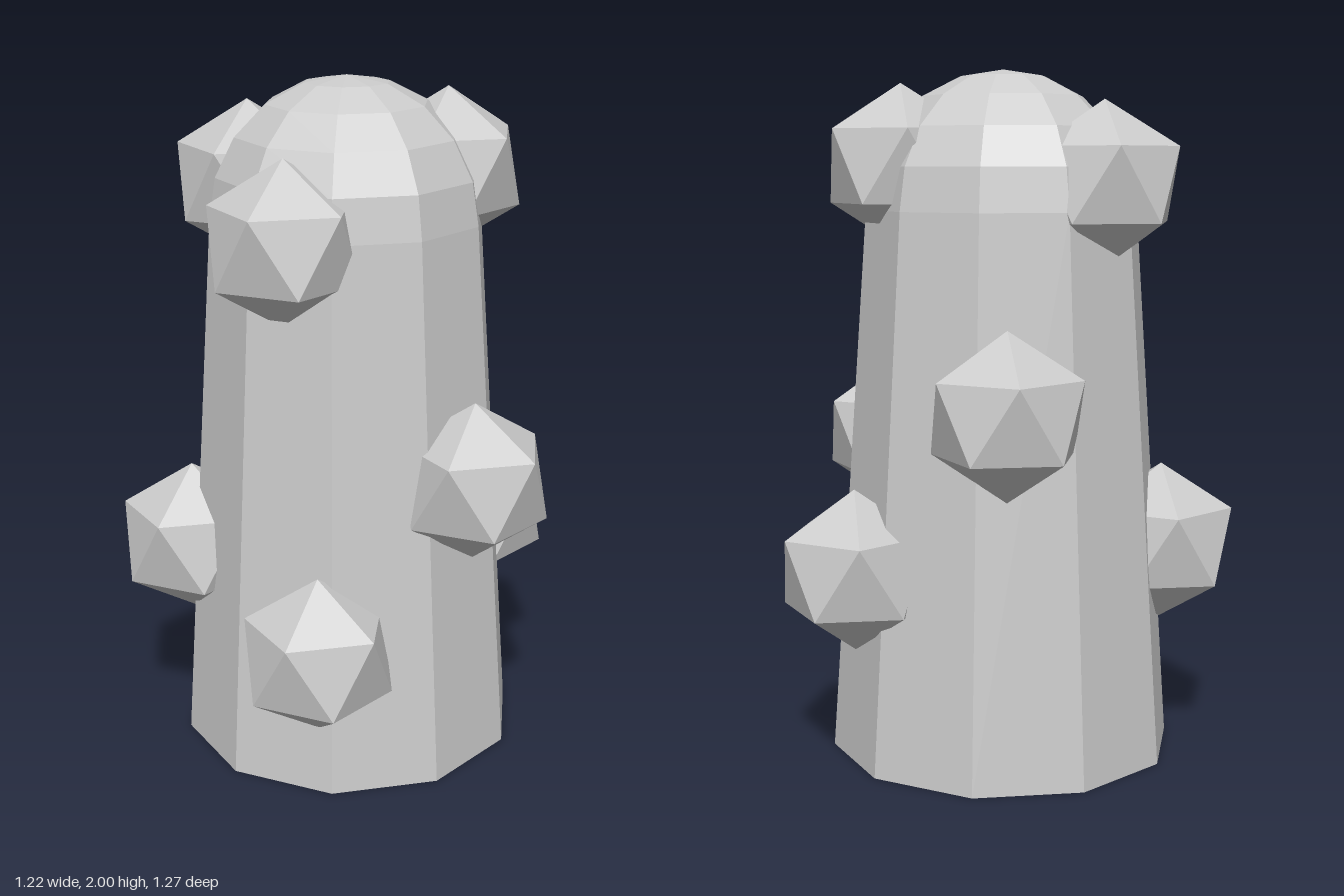
import * as THREE from 'three';

export function createModel() {
  const group = new THREE.Group();
  const material = new THREE.MeshStandardMaterial({
    color: 0xcccccc, flatShading: true, side: THREE.DoubleSide,
  });

  const SIDES = 10, TOP_RADIUS = 0.4, BASE_RADIUS = 0.51, TRUNK_HEIGHT = 1.6;
  const CENTRE_X = -0.07, CENTRE_Z = 0.03;

  function add(name, geometry, x, y, z) {
    const mesh = new THREE.Mesh(geometry, material);
    mesh.name = name;
    mesh.position.set(x, y, z);
    group.add(mesh);
  }

  // Tapered trunk, open at the bottom
  add('trunk',
    new THREE.CylinderGeometry(TOP_RADIUS, BASE_RADIUS, TRUNK_HEIGHT, SIDES, 1, true),
    CENTRE_X, TRUNK_HEIGHT / 2, CENTRE_Z);

  // Rounded cap, its corners in line with the trunk's
  add('dome',
    new THREE.SphereGeometry(TOP_RADIUS, SIDES, 5, Math.PI / 2, Math.PI * 2, 0, Math.PI / 2),
    CENTRE_X, TRUNK_HEIGHT, CENTRE_Z);

  // Knobs: icosahedra standing on a corner, one upper corner towards +x
  const knob = new THREE.IcosahedronGeometry(0.235, 0);
  knob.rotateX(-Math.atan((1 + Math.sqrt(5)) / 2));
  knob.rotateY(Math.PI / 2);

  const knobCentres = [
    [0.175, 0.43, 0.435],
    [0.055, 0.58, -0.44],
    [-0.4, 0.615, 0.37],
    [0.4, 0.895, 0.02],
    [-0.4, 1.055, -0.28],
    [0.01, 1.585, 0.375],
    [-0.4, 1.675, 0.1],
    [0.1, 1.725, -0.215],
  ];
  knobCentres.forEach(([x, y, z], i) => add(`knob${i + 1}`, knob, x, y, z));

  return group;
}
